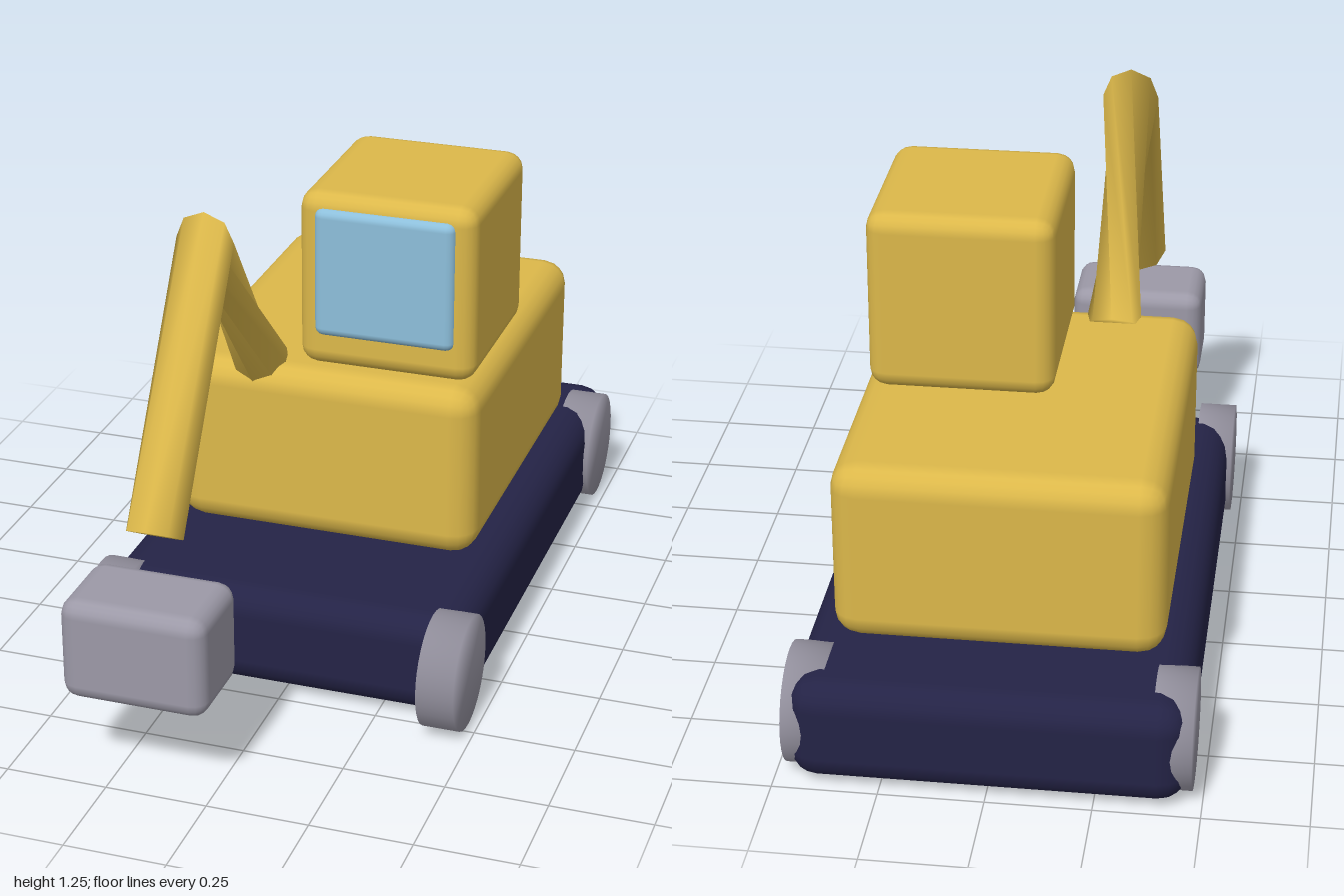
import * as THREE from 'three';
import { mergeVertices } from 'three/addons/utils/BufferGeometryUtils.js';
import { RoundedBoxGeometry } from 'three/addons/geometries/RoundedBoxGeometry.js';

const material = (name, color, side = THREE.FrontSide) => {
  const m = new THREE.MeshStandardMaterial({ color, side });
  m.name = name;
  return m;
};

// Rounded box given by its [min, max] along each axis
function roundedBlock(name, mat, [x0, x1], [y0, y1], [z0, z1], radius) {
  const mesh = new THREE.Mesh(new RoundedBoxGeometry(x1 - x0, y1 - y0, z1 - z0, 2, radius), mat);
  mesh.position.set((x0 + x1) / 2, (y0 + y1) / 2, (z0 + z1) / 2);
  mesh.name = name;
  return mesh;
}

// Disc whose normals blend softly across the rim
function wheelGeometry(radius, width) {
  let geo = new THREE.CylinderGeometry(radius, radius, width, 32).rotateZ(Math.PI / 2);
  geo.deleteAttribute('normal');
  geo.deleteAttribute('uv');
  geo = mergeVertices(geo);
  geo.computeVertexNormals();
  return geo;
}

// Bent eight-sided tube; every ring has its own centre, pitch and twist
function armGeometry(rings, radius, sides = 8) {
  const pos = [], index = [];
  for (const { at: [x, y, z], pitch, twist } of rings) {
    for (let j = 0; j < sides; j++) {
      const a = (j / sides) * Math.PI * 2 + twist;
      const across = radius * Math.cos(a), up = radius * Math.sin(a);
      pos.push(x + across, y + up * Math.cos(pitch), z - up * Math.sin(pitch));
    }
  }
  const last = (rings.length - 1) * sides, centre = rings.length * sides;
  pos.push(...rings[0].at, ...rings[rings.length - 1].at);
  for (let j = 0; j < sides; j++) {
    const k = (j + 1) % sides;
    for (let i = 0; i < last; i += sides) {
      index.push(i + j, i + k, i + sides + k, i + j, i + sides + k, i + sides + j);
    }
    index.push(centre, k, j, centre + 1, last + j, last + k);
  }
  const geo = new THREE.BufferGeometry();
  geo.setAttribute('position', new THREE.Float32BufferAttribute(pos, 3));
  geo.setIndex(index);
  geo.computeVertexNormals();
  return geo;
}

export function createModel() {
  const model = new THREE.Group();
  model.name = 'excavator';
  const yellow = material('yellow paint', 0xdcb84a);
  const armYellow = yellow;
  armYellow.side = THREE.DoubleSide;
  const navy = material('dark navy', 0x242346);
  const grey = material('grey metal', 0x9c99a7);
  const blue = material('window blue', 0x8dbfdb);

  // Undercarriage, body and cab
  model.add(
    roundedBlock('undercarriage', navy, [-0.465, 0.465], [0.015, 0.277], [-1, 0.49], 0.07),
    roundedBlock('body', yellow, [-0.393, 0.391], [0.277, 0.73], [-0.79, 0.165], 0.065),
    roundedBlock('cab', yellow, [-0.083, 0.368], [0.727, 1.182], [-0.368, 0.105], 0.045),
    roundedBlock('window', blue, [-0.037, 0.32], [0.815, 1.148], [0.07, 0.12], 0.022),
    roundedBlock('bucket', grey, [-0.357, 0], [0.222, 0.478], [0.765, 1], 0.04),
  );

  // Wheels
  const wheelGeo = wheelGeometry(0.143, 0.093);
  for (const x of [-0.429, 0.429]) {
    for (const z of [-0.85, 0.465]) {
      const wheel = new THREE.Mesh(wheelGeo, grey);
      wheel.position.set(x, 0.147, z);
      wheel.name = 'wheel';
      model.add(wheel);
    }
  }

  // Arm: twisted boom up to the elbow, straight stick down to the bucket
  const arm = new THREE.Mesh(armGeometry([
    { at: [-0.18, 0.71, 0.09], pitch: 0.9, twist: Math.PI * 0.75 },
    { at: [-0.18, 1.184, 0.466], pitch: -0.09, twist: 0 },
    { at: [-0.18, 0.591, 0.824], pitch: -1.03, twist: 0 },
  ], 0.071), armYellow);
  arm.name = 'arm';
  model.add(arm);

  return model;
}
